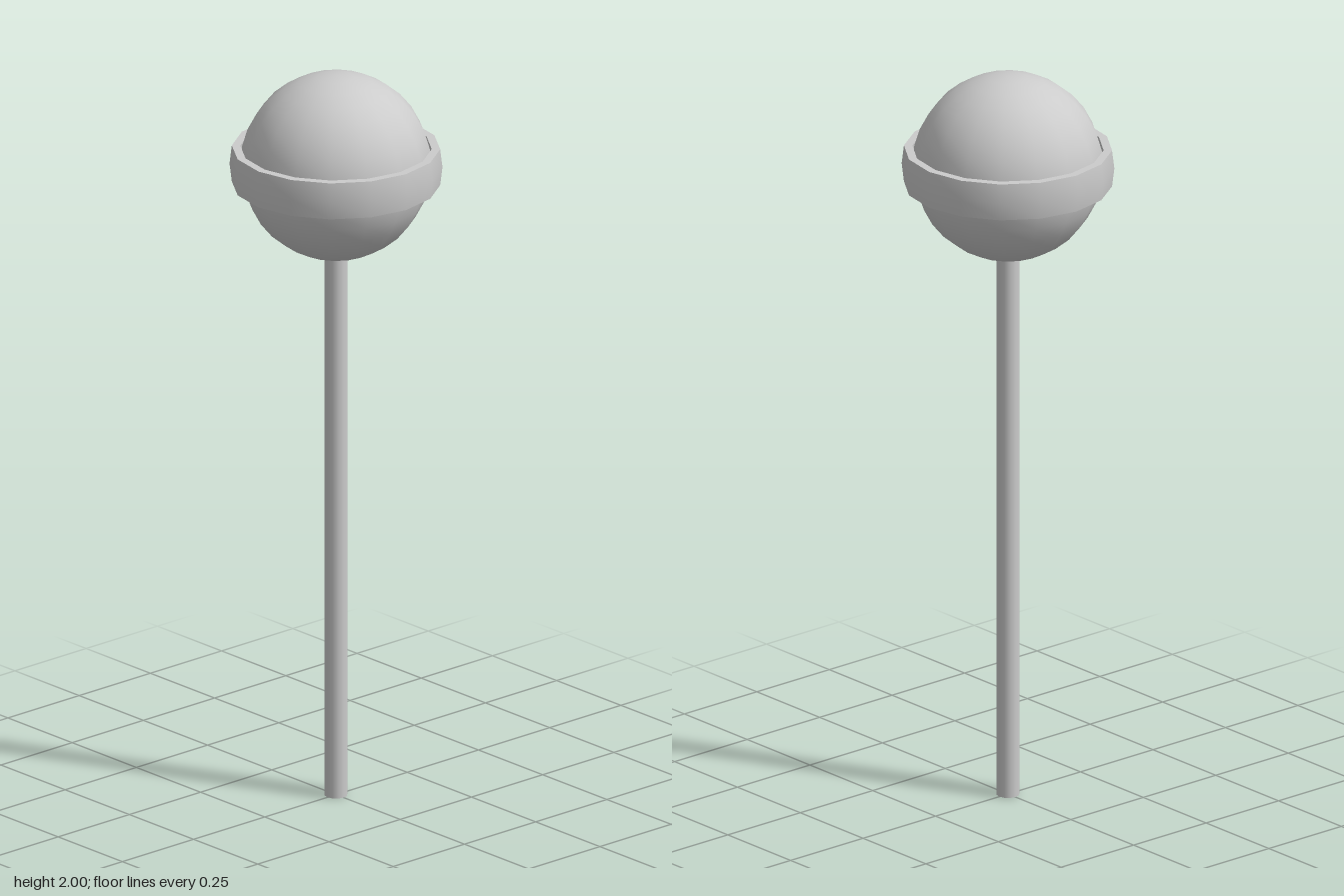
import * as THREE from 'three';
import { toCreasedNormals } from 'three/addons/utils/BufferGeometryUtils.js';

const SIDES = 16;
const CENTRE = 1.75;

export function createModel() {
  const group = new THREE.Group();
  const material = new THREE.MeshStandardMaterial({ color: 0xcccccc });

  const add = (name, geometry, y) => {
    const mesh = new THREE.Mesh(geometry, material);
    mesh.name = name;
    mesh.position.y = y;
    group.add(mesh);
  };

  // Round candy head
  add('candyBall', new THREE.SphereGeometry(0.25, SIDES, SIDES), CENTRE);

  // Slightly bulged ring around the middle, closed profile
  const profile = [
    [0.25, -0.05], [0.272, -0.05], [0.278, 0],
    [0.272, 0.05], [0.25, 0.05], [0.25, -0.05],
  ].map(([r, y]) => new THREE.Vector2(r, y));
  add('candyBand', toCreasedNormals(new THREE.LatheGeometry(profile, SIDES), 0.7), CENTRE);

  // Stick, its top tucked into the ball
  add('stick', new THREE.CylinderGeometry(0.03, 0.03, 1.52, 12), 0.76);

  return group;
}
